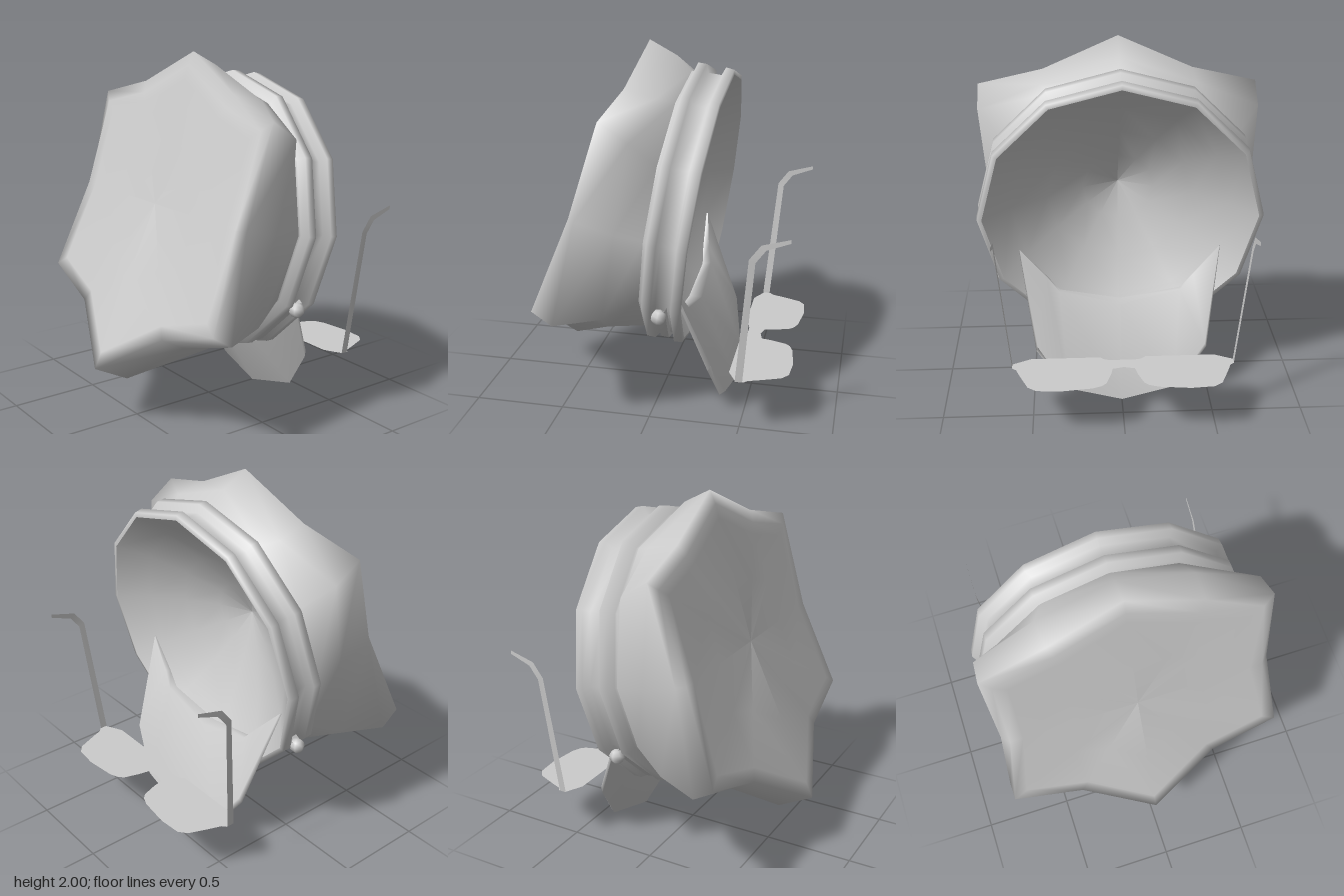
import * as THREE from 'three';
import { toCreasedNormals } from 'three/addons/utils/BufferGeometryUtils.js';

const material = new THREE.MeshStandardMaterial({ color: 0xcccccc, side: THREE.DoubleSide });

function part(name, geometry, parent) {
  const mesh = new THREE.Mesh(geometry, material);
  mesh.name = name;
  parent.add(mesh);
  return mesh;
}

// Skin a list of equally long point rows; closed joins the end of each row to its start
function loft(rows, closed) {
  const n = rows[0].length, index = [];
  for (let i = 0; i < rows.length - 1; i++) {
    for (let k = 0; k < (closed ? n : n - 1); k++) {
      const a = i * n + k, b = i * n + (k + 1) % n;
      index.push(a, a + n, b + n, a, b + n, b);
    }
  }
  const geometry = new THREE.BufferGeometry();
  geometry.setAttribute('position', new THREE.Float32BufferAttribute(rows.flat(2), 3));
  geometry.setIndex(index);
  geometry.computeVertexNormals();
  return geometry;
}

// Half a ring from top centre to bottom centre, completed by mirroring
const mirrorRing = half => [...half, ...half.slice(1, -1).reverse().map(([x, y, z]) => [-x, y, z])];
// Half a row from the centre outwards, completed by mirroring
const mirrorRow = half => [...half.slice(1).reverse().map(([x, y, z]) => [-x, y, z]), ...half];

// Twelve-sided turned part whose axis points to the front
function turned(profile, segments = 12, start = 0, length = Math.PI * 2) {
  const points = profile.map(([r, w]) => new THREE.Vector2(r, w));
  return new THREE.LatheGeometry(points, segments, start, length).rotateX(Math.PI / 2);
}

const TILT = 0.137;
const CENTRE = new THREE.Vector3(0, 1.11, -0.08);

function makeBand() {
  const band = new THREE.Group();
  band.name = 'headband';
  band.position.copy(CENTRE);
  band.rotation.x = -TILT;

  // Band with two soft raised welts
  part('bandAndWelts', turned([
    [0.75, -0.18], [0.775, -0.175], [0.78, -0.13], [0.735, -0.112], [0.735, -0.04],
    [0.78, -0.025], [0.78, 0.022], [0.73, 0.035], [0.73, 0.07],
  ]), band);

  // Hollow inside of the cap
  part('lining', turned([
    [0, 0.24], [0.2, 0.17], [0.4, 0.07], [0.6, -0.05], [0.75, -0.18],
  ]), band);

  // Strap around the front of the band, with a button at each end
  part('strap', toCreasedNormals(turned([
    [0.735, -0.1], [0.765, -0.098], [0.765, -0.052], [0.735, -0.05],
  ], 4, -Math.PI / 3, Math.PI * 2 / 3), 0.7), band);
  for (const side of [-1, 1]) {
    const button = part('strapButton', new THREE.SphereGeometry(0.042, 6, 5), band);
    button.position.set(side * 0.66, -0.42, -0.07);
  }
  return band;
}

function makeCrown() {
  // Collar ring that meets the band
  const collar = [];
  for (let k = 0; k <= 6; k++) {
    const a = k * Math.PI / 6;
    const p = new THREE.Vector3(0.73 * Math.sin(a), 0.73 * Math.cos(a), 0.05);
    p.applyAxisAngle(new THREE.Vector3(1, 0, 0), -TILT).add(CENTRE);
    collar.push(p.toArray());
  }
  const wall = [[0, 1.92, -0.05], [0.42, 1.77, -0.03], [0.765, 1.62, 0.03], [0.735, 1.14, 0.12],
    [0.7, 0.66, 0.2], [0.4, 0.48, 0.25], [0, 0.36, 0.29]];
  const rim = [[0, 2, 0.1], [0.41, 1.81, 0.14], [0.77, 1.72, 0.18], [0.75, 1.2, 0.32],
    [0.79, 0.64, 0.44], [0.41, 0.52, 0.46], [0, 0.235, 0.56]];
  const edge = [[0, 1.93, 0.135], [0.38, 1.75, 0.175], [0.71, 1.67, 0.21], [0.71, 1.2, 0.36],
    [0.785, 0.71, 0.55], [0.4, 0.59, 0.59], [0, 0.34, 0.76]];
  // The face sinks gently from its edge to the middle
  const middle = [0, 1.2, 0.36];
  const towards = t => edge.map(p => p.map((v, i) => v + (middle[i] - v) * t));
  const rings = [collar, wall, rim, edge, towards(0.1), towards(0.5), towards(1)];
  return loft(rings.map(mirrorRing), true);
}

function makeVisor() {
  // Front and back skins joined along the outer lip; the pointed ends reach inside the band
  const innerFront = [[0, 0.53, -0.125], [0.34, 0.6, -0.14], [0.41, 0.68, -0.13], [0.565, 0.85, -0.12]];
  const outerFront = [[0, 0.005, -0.33], [0.31, 0.08, -0.36], [0.48, 0.31, -0.32], [0.565, 0.85, -0.12]];
  const outerBack = [[0, 0.03, -0.405], [0.3, 0.1, -0.39], [0.47, 0.34, -0.335], [0.56, 0.85, -0.13]];
  const innerBack = [[0, 0.53, -0.2], [0.34, 0.61, -0.19], [0.41, 0.69, -0.165], [0.56, 0.85, -0.13]];
  return loft([innerFront, outerFront, outerBack, innerBack, innerFront].map(mirrorRow), false);
}

function makeGlasses() {
  const glasses = new THREE.Group();
  glasses.name = 'glasses';

  // Flat lens sheet lying level, lower lens edges to the back
  const half = [[0, 0.545], [0.06, 0.56], [0.073, 0.62], [0.1, 0.7], [0.125, 0.725], [0.175, 0.745],
    [0.345, 0.765], [0.47, 0.755], [0.515, 0.72], [0.56, 0.61], [0.582, 0.55], [0.605, 0.53],
    [0.605, 0.49], [0.505, 0.44], [0.125, 0.44], [0.1, 0.463], [0.07, 0.47], [0, 0.47]];
  const outline = [...half, ...half.slice(1, -1).reverse().map(([x, z]) => [-x, z])];
  const shape = new THREE.Shape(outline.map(([x, z]) => new THREE.Vector2(x, z)));
  const lenses = part('lenses', new THREE.ShapeGeometry(shape).rotateX(-Math.PI / 2), glasses);
  lenses.position.y = 0.33;

  // Thin upright arms with hooked ends
  const inner = [[0.605, 0.33, -0.485], [0.665, 1.04, -0.55], [0.665, 1.12, -0.61], [0.665, 1.16, -0.755]];
  const outer = [[0.605, 0.33, -0.525], [0.665, 1.025, -0.583], [0.665, 1.095, -0.635], [0.665, 1.14, -0.755]];
  for (const side of [-1, 1]) {
    const flip = row => row.map(([x, y, z]) => [side * x, y, z]);
    part('arm', loft([flip(inner), flip(outer)], false), glasses);
  }
  return glasses;
}

export function createModel() {
  const model = new THREE.Group();
  model.name = 'capAndGlasses';
  part('crown', makeCrown(), model);
  model.add(makeBand());
  part('visor', makeVisor(), model);
  model.add(makeGlasses());
  return model;
}
